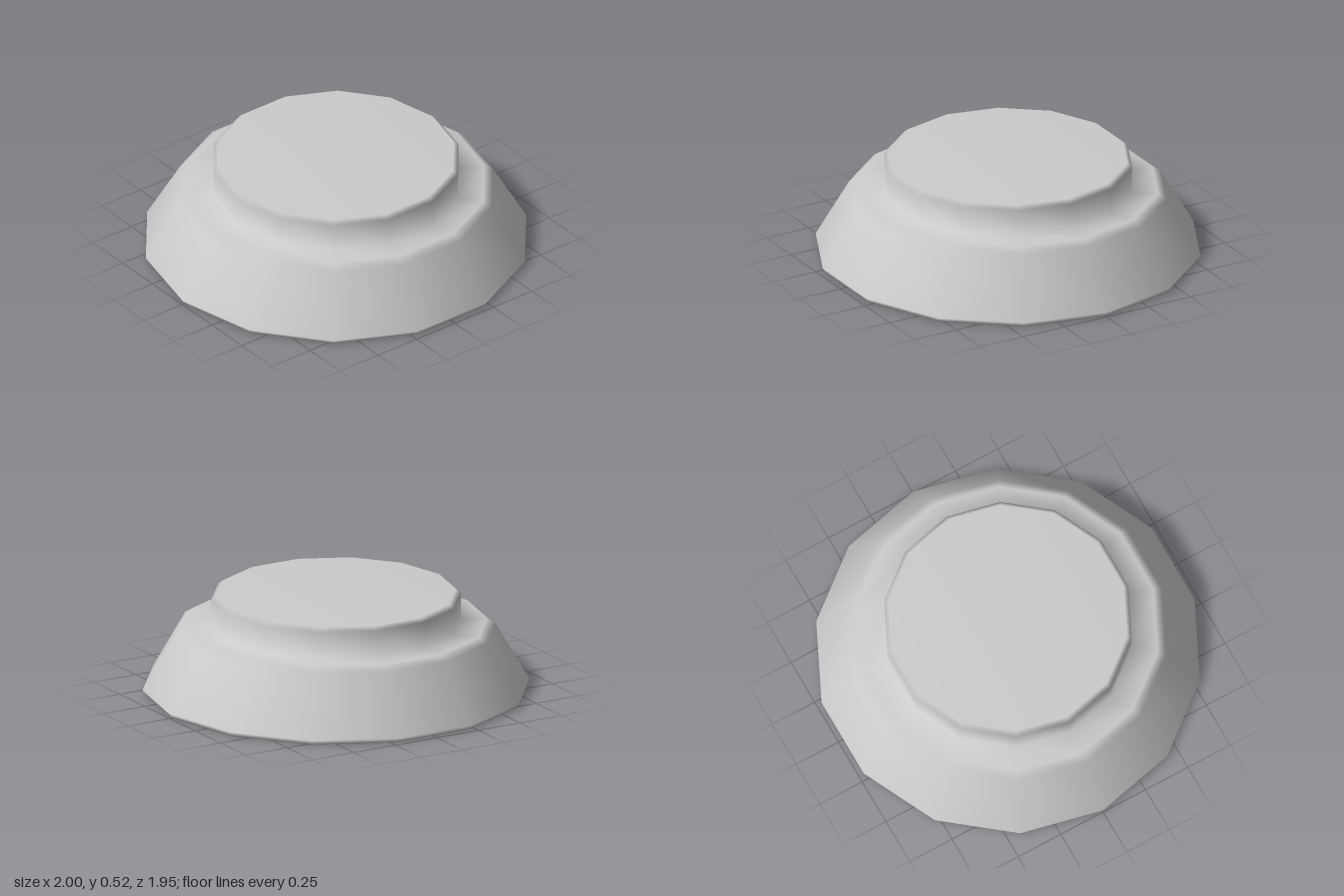
import * as THREE from 'three';
import { mergeVertices } from 'three/addons/utils/BufferGeometryUtils.js';

const SIDES = 14;

// [radius, height] from the centre of the underside to the centre of the top
const PROFILE = [
  [0, 0], [0.985, 0], [1, 0.025],   // underside and its small bevel
  [0.825, 0.33], [0.78, 0.357],     // sloping skirt and rounded shoulder
  [0.645, 0.357],                   // ledge around the button
  [0.645, 0.5], [0.62, 0.52], [0, 0.52], // button wall, bevel and top
];

export function createModel() {
  const group = new THREE.Group();
  group.name = 'pushButton';

  // Start the turn at +x so that corners lie on the x axis
  const points = PROFILE.map(([r, y]) => new THREE.Vector2(r, y));
  let geometry = new THREE.LatheGeometry(points, SIDES, Math.PI / 2);

  // Weld the seam and blend normals by face area: flat faces, soft bevels
  geometry.deleteAttribute('normal');
  geometry.deleteAttribute('uv');
  geometry = mergeVertices(geometry, 1e-4);
  geometry.computeVertexNormals();

  const body = new THREE.Mesh(geometry, new THREE.MeshStandardMaterial({ color: 0xcccccc }));
  body.name = 'baseAndButton';
  group.add(body);
  return group;
}
